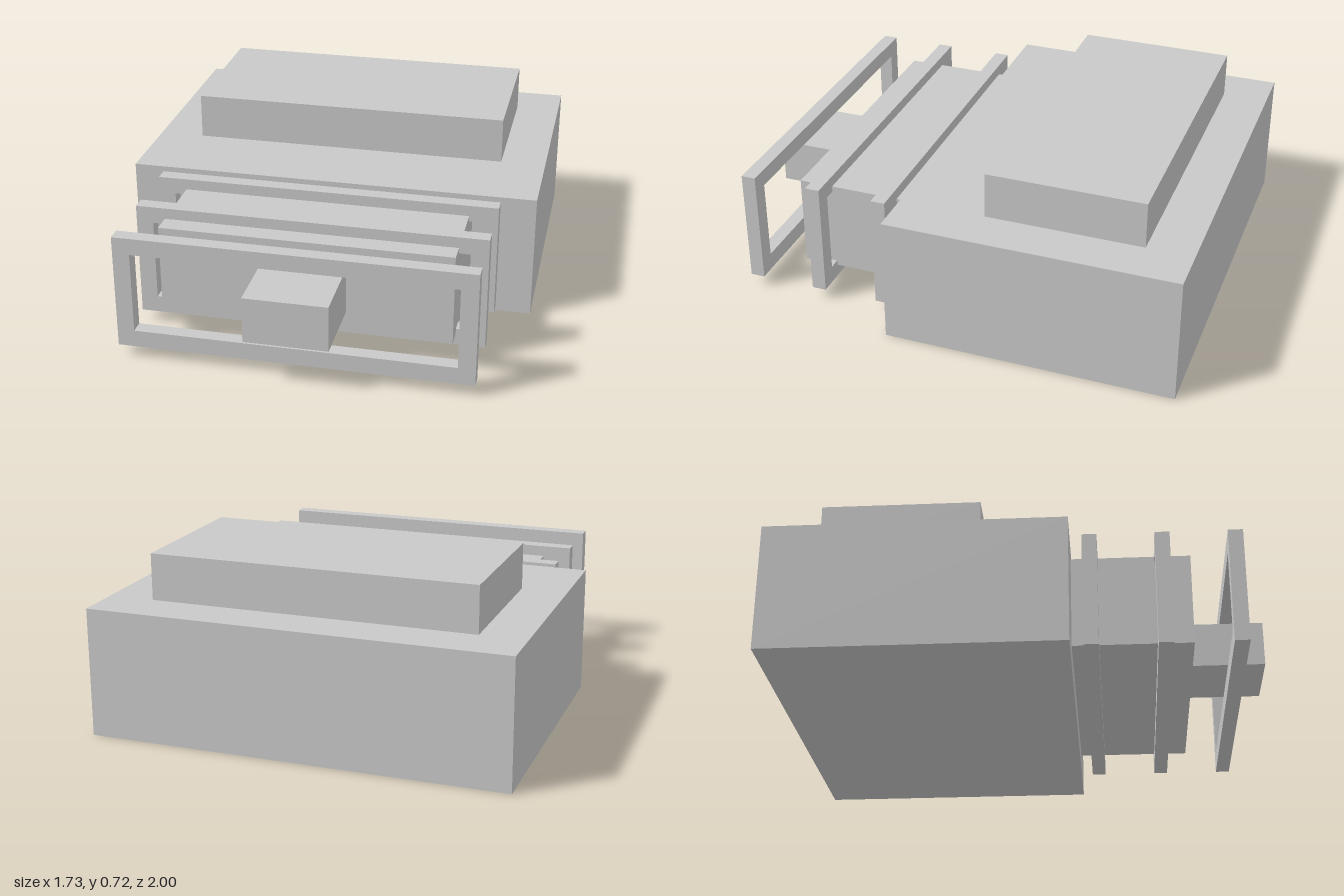
import * as THREE from 'three';

export function createModel() {
  const model = new THREE.Group();
  const grey = new THREE.MeshStandardMaterial({ color: 0xc9c9c9 });
  grey.name = 'light grey';

  // Adds a geometry as a named part
  function add(name, geometry) {
    const mesh = new THREE.Mesh(geometry, grey);
    mesh.name = name;
    model.add(mesh);
    return mesh;
  }

  // Box centred on x, given by half width and its y and z ranges
  function block(name, halfWidth, y0, y1, z0, z1) {
    const mesh = add(name, new THREE.BoxGeometry(halfWidth * 2, y1 - y0, z1 - z0));
    mesh.position.set(0, (y0 + y1) / 2, (z0 + z1) / 2);
  }

  // Main housing, raised top and stepped front
  block('body', 0.865, 0, 0.531, -1, 0.205);
  block('topBlock', 0.675, 0.531, 0.723, -0.807, -0.156);
  block('neck', 0.602, 0.099, 0.485, 0.205, 0.686);
  block('frontStub', 0.17, 0.194, 0.386, 0.686, 1);

  // Rectangular frames around the neck and stub
  const outline = (path, hw, y0, y1) =>
    path.moveTo(-hw, y0).lineTo(hw, y0).lineTo(hw, y1).lineTo(-hw, y1).closePath();
  const shape = new THREE.Shape();
  outline(shape, 0.722, 0.048, 0.531);
  const hole = new THREE.Path();
  outline(hole, 0.652, 0.12, 0.461);
  shape.holes.push(hole);
  const frame = new THREE.ExtrudeGeometry(shape, { depth: 0.06, bevelEnabled: false });
  ['rearFrame', 'middleFrame', 'frontFrame'].forEach((name, i) => {
    add(name, frame).position.z = 0.253 + i * 0.289;
  });

  return model;
}
